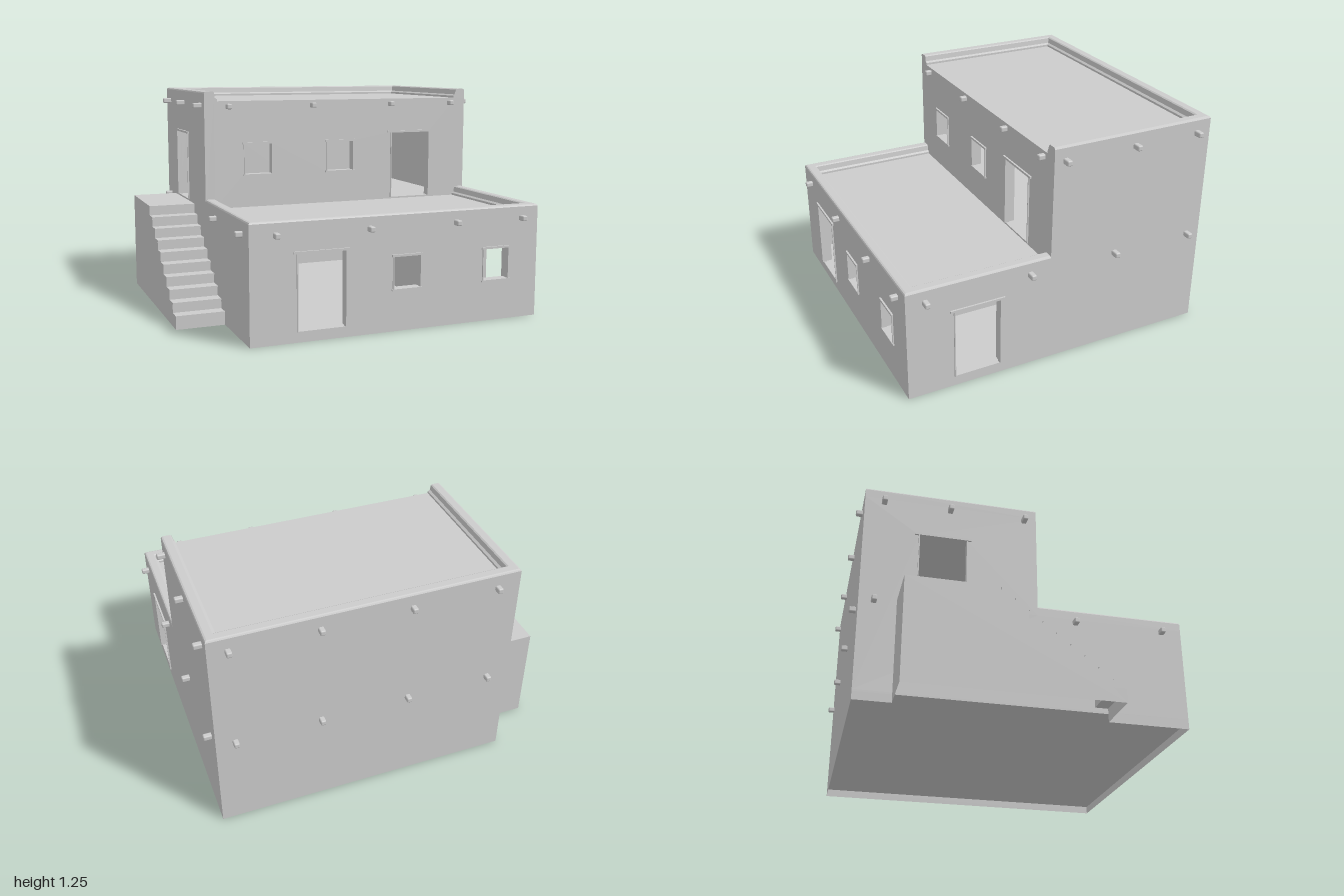
import * as THREE from 'three';
import { RoundedBoxGeometry } from 'three/addons/geometries/RoundedBoxGeometry.js';

const L = -0.73, R = 0.95, F = 0.89, B = -0.89, M = 0.07; // plan: left, right, front, back, upper storey front
const T = 0.055;                                          // wall thickness
const FLOOR = 0.055, DECK = 0.58, ROOF = 1.195;           // levels

const mat = new THREE.MeshStandardMaterial({ color: 0xcccccc, side: THREE.DoubleSide });

function add(parent, name, geo, x = 0, y = 0, z = 0) {
  const mesh = new THREE.Mesh(geo, mat);
  mesh.name = name;
  mesh.position.set(x, y, z);
  parent.add(mesh);
  return mesh;
}

// box given by its two corners
function block(parent, name, x0, x1, y0, y1, z0, z1) {
  return add(parent, name, new THREE.BoxGeometry(x1 - x0, y1 - y0, z1 - z0),
    (x0 + x1) / 2, (y0 + y1) / 2, (z0 + z1) / 2);
}

// flat-shaded geometry from a list of quads, each with four corners
function quads(list) {
  const pos = [];
  for (const [a, b, c, d] of list) pos.push(...a, ...b, ...c, ...a, ...c, ...d);
  const geo = new THREE.BufferGeometry();
  geo.setAttribute('position', new THREE.Float32BufferAttribute(pos, 3));
  geo.computeVertexNormals();
  return geo;
}

// wall with openings [u0, u1, y0, y1, isDoor] and roof beams [u, y, length];
// local x runs along the wall and local z points outward
function wall(parent, name, pos, angle, outline, openings, beams) {
  const g = new THREE.Group();
  g.name = name;
  g.position.set(...pos);
  g.rotation.y = angle;
  parent.add(g);

  const shape = new THREE.Shape(outline.map(p => new THREE.Vector2(...p)));
  for (const [a, b, c, d] of openings) {
    const hole = [[a, c], [a, d], [b, d], [b, c]].map(p => new THREE.Vector2(...p));
    shape.holes.push(new THREE.Path(hole));
  }
  add(g, 'wallPanel', new THREE.ExtrudeGeometry(shape, { depth: T, bevelEnabled: false }), 0, 0, -T);

  for (const [a, b, c, d, door] of openings) {
    const lip = door ? 0.02 : 0.006;
    block(g, 'lintel', a - lip, b + lip, d - 0.002, d + 0.01, -0.02, 0.01);
    if (!door) block(g, 'sill', a - lip, b + lip, c - 0.008, c + 0.002, -0.02, 0.01);
    block(g, 'jamb', a, a + 0.006, c, d, -0.02, 0.008);
    block(g, 'jamb', b - 0.006, b, c, d, -0.02, 0.008);
  }
  for (const [u, y, len] of beams) {
    add(g, 'roofBeam', new RoundedBoxGeometry(0.03, 0.03, len + 0.03, 1, 0.007), u, y, (len - 0.03) / 2);
  }
}

// parapet with rounded outer edge and sloped inner face, swept around three sides
function parapet(parent, name, base, corners) {
  const profile = [[0, base], [0, base + 0.045], [0.004, base + 0.052], [0.012, base + 0.055],
    [0.05, base + 0.055], [0.058, base + 0.05], [0.062, base + 0.02], [0.075, base + 0.012], [0.075, base]];
  const rings = corners.map(([x, z, ix, iz]) => profile.map(([d, y]) => [x + ix * d, y, z + iz * d]));
  const list = [];
  for (let k = 0; k < 3; k++) {
    for (let j = 0; j < profile.length - 1; j++) {
      list.push([rings[k][j], rings[k][j + 1], rings[k + 1][j + 1], rings[k + 1][j]]);
    }
  }
  // end caps
  for (const ring of [rings[0], [...rings[3]].reverse()]) {
    for (let j = 1; j < ring.length - 1; j++) list.push([ring[0], ring[j + 1], ring[j], ring[0]]);
  }
  add(parent, name, quads(list));
}

// outside steps with a landing, open underneath
function stairs(parent) {
  const g = new THREE.Group();
  g.name = 'stairs';
  parent.add(g);
  const x0 = -1, x1 = L, back = -0.69, front = 0.44, count = 10;
  const line = [[front, 0]];
  for (let i = 0; i < count; i++) {
    const y = 0.075 + i * 0.0556;
    line.push([front - i * 0.0711, y]);
    line.push([i === count - 1 ? back : front - (i + 1) * 0.0711, y]);
  }
  line.push([back, 0]);
  const strips = [];
  for (let i = 0; i < line.length - 1; i++) {
    const [za, ya] = line[i], [zb, yb] = line[i + 1];
    strips.push([[x0, ya, za], [x1, ya, za], [x1, yb, zb], [x0, yb, zb]]);
  }
  add(g, 'treadsAndRisers', quads(strips));
  // thin tread edges
  for (let i = 1; i < count; i++) {
    const [z, y] = line[1 + 2 * i];
    block(g, 'treadEdge', x0, x1, y - 0.008, y, z, z + 0.005);
  }
  const side = new THREE.ShapeGeometry(new THREE.Shape(line.map(p => new THREE.Vector2(...p))));
  add(g, 'stairSide', side, x0, 0, 0).rotation.y = -Math.PI / 2;
}

export function createModel() {
  const house = new THREE.Group();
  house.name = 'house';
  const rect = (a, b, c, d) => [[a, c], [b, c], [b, d], [a, d]];
  const row = (us, y, len) => us.map(u => [u, y, len]);
  const frontX = [-0.59, -0.075, 0.435, 0.845];

  // walls
  wall(house, 'lowerFrontWall', [0, 0, F], 0, rect(L + T, R - T, FLOOR, DECK),
    [[-0.48, -0.205, FLOOR + 0.002, 0.463, true], [0.058, 0.225, 0.228, 0.405], [0.602, 0.768, 0.228, 0.405]],
    row(frontX, 0.563, 0.04));
  wall(house, 'upperFrontWall', [0, 0, M], 0, rect(L + T, R - T, DECK, ROOF),
    [[0.438, 0.705, DECK + 0.01, 0.99, true], [-0.5, -0.325, 0.77, 0.947], [0.013, 0.19, 0.77, 0.947]],
    row(frontX, 1.165, 0.037));
  const backX = [0.6, 0.12, -0.375, -0.845];
  wall(house, 'backWall', [0, 0, B], Math.PI, rect(-R + T, -L - T, FLOOR, ROOF), [],
    [...row(backX, 1.165, 0.037), ...row(backX, 0.56, 0.037)]);

  // stepped side walls; s mirrors the outline
  const outline = s => [[s * B, FLOOR], [s * F, FLOOR], [s * F, DECK], [s * M, DECK], [s * M, ROOF], [s * B, ROOF]];
  wall(house, 'rightWall', [R, 0, 0], Math.PI / 2, outline(-1),
    [[-0.63, -0.36, FLOOR + 0.002, 0.46, true]],
    [...row([-0.005, 0.415, 0.805], 1.17, 0.045), ...row([-0.785, -0.19, 0.325, 0.805], 0.56, 0.045)]);
  wall(house, 'leftWall', [L, 0, 0], -Math.PI / 2, outline(1),
    [[-0.59, -0.32, DECK + 0.005, 0.99, true]],
    [...row([-0.785, -0.42, 0], 1.17, 0.05), ...row([-0.81, 0.28, 0.775], 0.56, 0.04)]);

  // floors and roof
  block(house, 'groundFloor', L, R, 0.045, FLOOR, B, F);
  block(house, 'lowerRoofDeck', L + 0.02, R - 0.02, DECK - 0.025, DECK, B + 0.02, F - 0.02);
  block(house, 'upperRoofDeck', L + 0.02, R - 0.02, ROOF - 0.03, ROOF, B + 0.02, M - 0.01);

  // parapets
  parapet(house, 'upperParapet', ROOF, [[L, M, 1, 0], [L, B, 1, 1], [R, B, -1, 1], [R, M, -1, 0]]);
  parapet(house, 'lowerParapet', DECK, [[R, M, -1, 0], [R, F, -1, -1], [L, F, 1, -1], [L, M, 1, 0]]);

  // thin base skirt, left open beneath the stairs
  const runs = [[L, F, R, F], [R, F, R, B], [R, B, L, B], [L, B, L, -0.69], [L, 0.44, L, F]];
  add(house, 'baseSkirt', quads(runs.map(([xa, za, xb, zb]) =>
    [[xa, 0, za], [xb, 0, zb], [xb, 0.045, zb], [xa, 0.045, za]])));

  // inner partitions on the ground floor
  block(house, 'partition', 0.42, 0.445, FLOOR, DECK - 0.025, -0.02, 0.78);
  block(house, 'partition', 0.02, R - T, FLOOR, DECK - 0.025, -0.635, -0.615);
  block(house, 'partition', 0.02, 0.04, FLOOR, DECK - 0.025, B + T, -0.635);

  stairs(house);
  return house;
}
